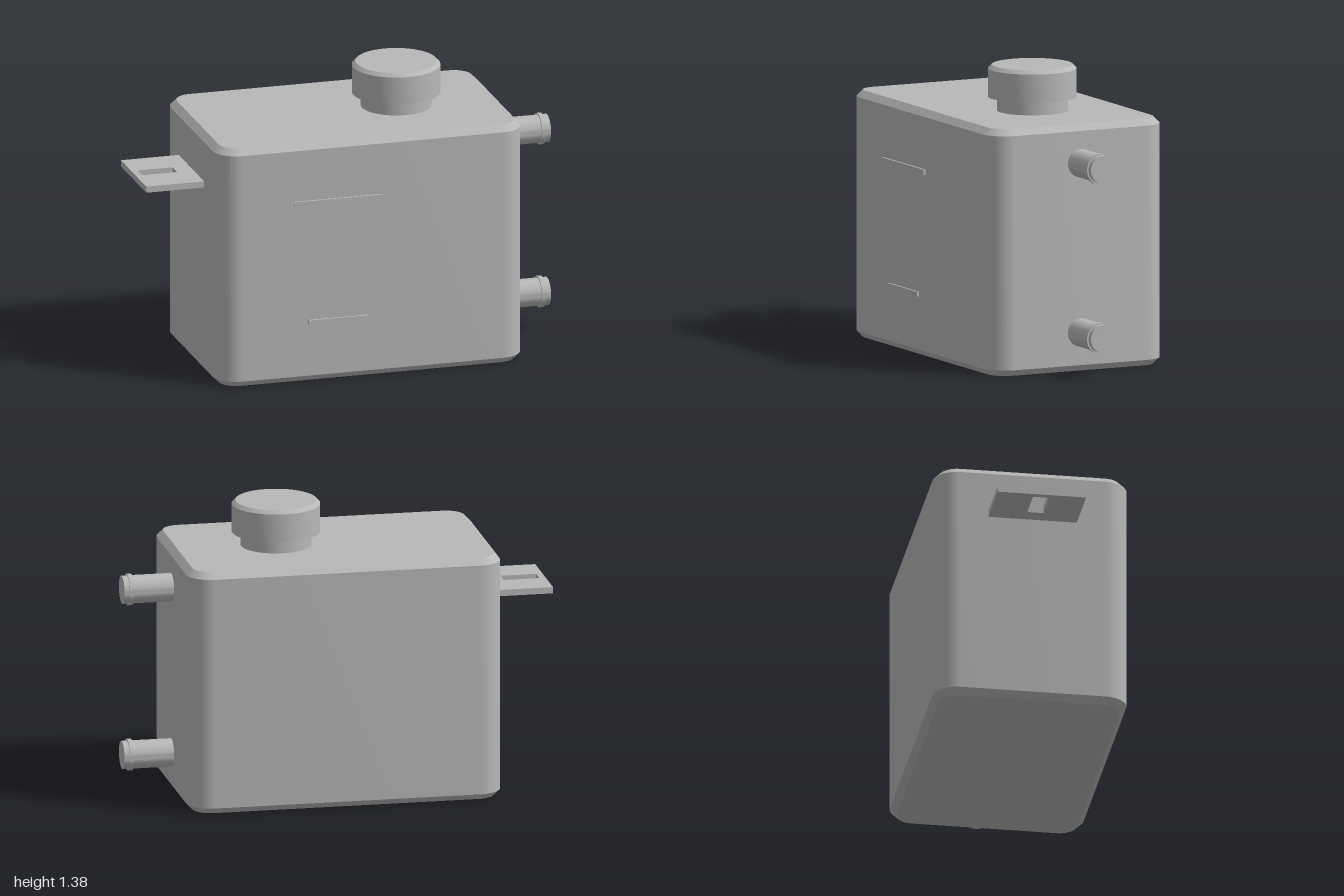
import * as THREE from 'three';
import { toCreasedNormals } from 'three/addons/utils/BufferGeometryUtils.js';

const CENTER_Z = -0.005;

// Rectangle in plan with rounded corners
function roundedRect(w, d, r) {
  const x = w / 2, y = d / 2;
  const s = new THREE.Shape();
  s.moveTo(x, -y + r);
  s.absarc(x - r, y - r, r, 0, Math.PI / 2);
  s.absarc(-x + r, y - r, r, Math.PI / 2, Math.PI);
  s.absarc(-x + r, -y + r, r, Math.PI, Math.PI * 1.5);
  s.absarc(x - r, -y + r, r, Math.PI * 1.5, Math.PI * 2);
  return s;
}

// Turned part with crisp edges, profile listed from bottom to top
function turned(profile) {
  const points = profile.map(([r, y]) => new THREE.Vector2(r, y));
  return toCreasedNormals(new THREE.LatheGeometry(points, 48), 0.5);
}

export function createModel() {
  const metal = new THREE.MeshStandardMaterial({ color: 0xb8b8b8 });
  metal.name = 'grey metal';
  const model = new THREE.Group();
  model.name = 'expansionTank';

  function add(name, geometry, x, y, z) {
    const mesh = new THREE.Mesh(geometry, metal);
    mesh.name = name;
    mesh.position.set(x, y, z);
    model.add(mesh);
  }

  // Tank body with chamfered top and bottom rims
  const bevel = 0.03;
  const body = new THREE.ExtrudeGeometry(roundedRect(1.425, 0.85, 0.085), {
    depth: 1.1, curveSegments: 12, bevelEnabled: true,
    bevelSegments: 1, bevelSize: bevel, bevelThickness: bevel,
  });
  body.rotateX(-Math.PI / 2);
  add('tankBody', toCreasedNormals(body, 0.5), 0.0225, bevel, CENTER_Z);

  // Filler neck and cap
  add('fillerNeck', turned([[0.165, 0], [0.165, 0.08]]), 0.27, 1.155, CENTER_Z);
  add('fillerCap', turned([[0, 0], [0.206, 0], [0.206, 0.133], [0.189, 0.15], [0, 0.15]]),
    0.27, 1.225, CENTER_Z);

  // Hose fittings with a raised bead near the end
  const fitting = turned([[0.066, 0], [0.066, 0.195], [0.074, 0.195],
    [0.074, 0.215], [0.066, 0.215], [0.066, 0.24], [0, 0.24]]);
  fitting.rotateZ(-Math.PI / 2);
  add('upperHoseFitting', fitting, 0.76, 0.98, CENTER_Z + 0.002);
  add('lowerHoseFitting', fitting, 0.76, 0.185, CENTER_Z + 0.002);

  // Slotted mounting bracket
  const plate = new THREE.Shape([[-1, -0.205], [-0.715, -0.205], [-0.715, 0.21], [-1, 0.21]]
    .map(([x, y]) => new THREE.Vector2(x, y)));
  plate.holes.push(new THREE.Path([[-0.97, -0.035], [-0.97, 0.04], [-0.8, 0.04], [-0.8, -0.035]]
    .map(([x, y]) => new THREE.Vector2(x, y))));
  const bracket = new THREE.ExtrudeGeometry(plate, { depth: 0.03, bevelEnabled: false });
  bracket.rotateX(-Math.PI / 2);
  add('mountingBracket', bracket, 0, 0.91, CENTER_Z);

  // Level marks on the front
  add('upperLevelMark', new THREE.BoxGeometry(0.43, 0.025, 0.02), -0.145, 0.872, 0.45);
  add('lowerLevelMark', new THREE.BoxGeometry(0.295, 0.022, 0.02), -0.143, 0.291, 0.45);

  return model;
}
